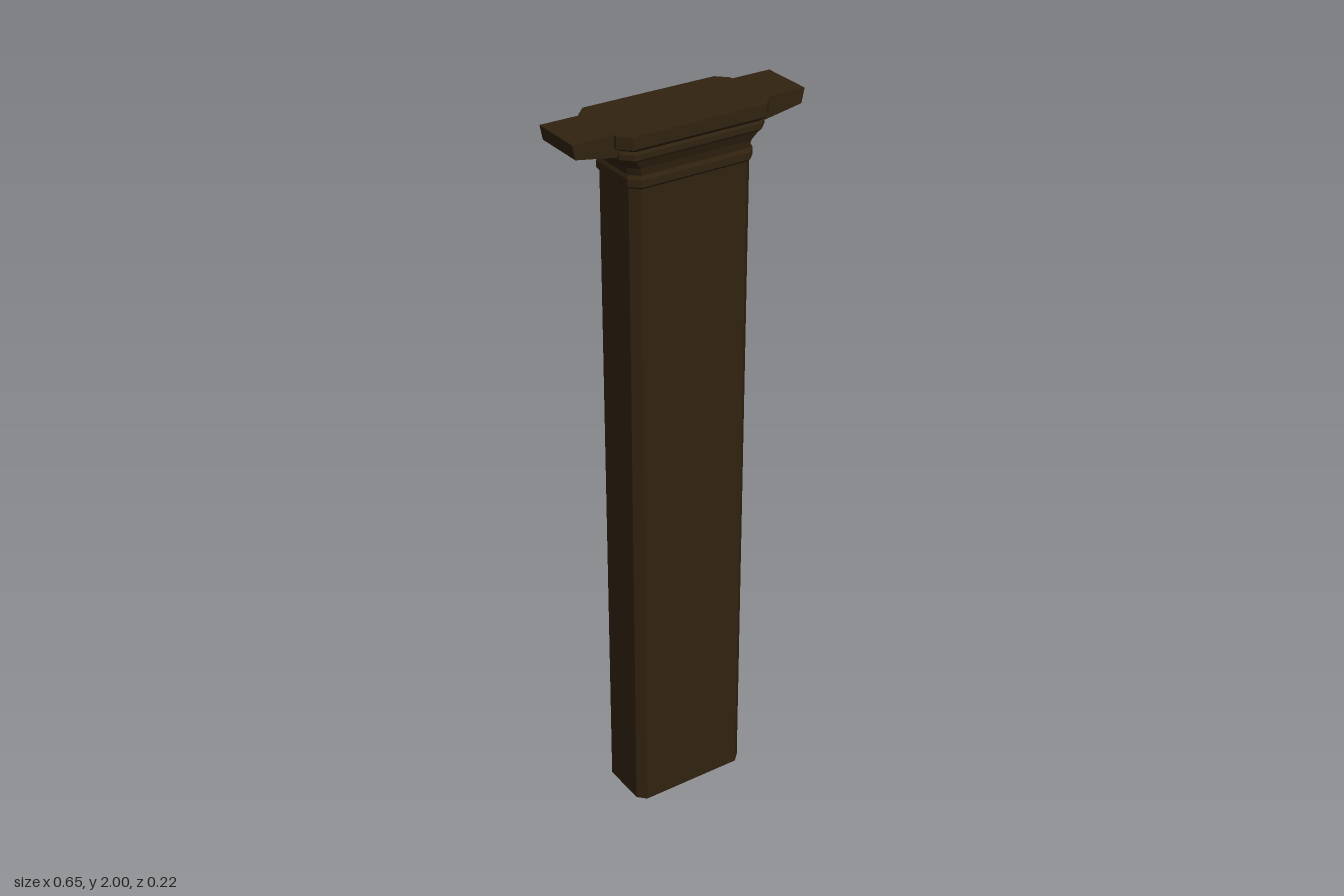
import * as THREE from 'three';

// Stack of chamfered rectangles [y, halfX, halfZ, chamfer], closed at both ends
function loft(sections) {
  const pos = [], index = [], n = 8;
  for (const [y, x, z, c] of sections) {
    const ring = [[c - x, z], [x - c, z], [x, z - c], [x, c - z],
      [x - c, -z], [c - x, -z], [-x, c - z], [-x, z - c]];
    for (const [px, pz] of ring) pos.push(px, y, pz);
  }
  for (let s = 0; s < sections.length - 1; s++) {
    for (let i = 0; i < n; i++) {
      const a = s * n + i, b = s * n + (i + 1) % n;
      index.push(a, b, b + n, a, b + n, a + n);
    }
  }
  const top = (sections.length - 1) * n;
  for (let i = 1; i < n - 1; i++) {
    index.push(0, i + 1, i, top, top + i, top + i + 1);
  }
  const geo = new THREE.BufferGeometry();
  geo.setAttribute('position', new THREE.Float32BufferAttribute(pos, 3));
  geo.setIndex(index);
  const flat = geo.toNonIndexed();
  flat.computeVertexNormals();
  return flat;
}

export function createModel() {
  const group = new THREE.Group();
  const wood = new THREE.MeshStandardMaterial({ color: 0x30220f, flatShading: true });
  wood.name = 'dark wood';

  const add = (name, geo) => {
    const mesh = new THREE.Mesh(geo, wood);
    mesh.name = name;
    group.add(mesh);
    return mesh;
  };

  // Tall chamfered post
  add('shaft', loft([[0, 0.172, 0.087, 0.022], [1.86, 0.172, 0.087, 0.022]]));

  // Moulded capital: collar, flare, groove and top slab
  add('capital', loft([
    [1.855, 0.172, 0.087, 0.022],
    [1.862, 0.178, 0.094, 0.024],
    [1.88, 0.178, 0.094, 0.024],
    [1.89, 0.174, 0.089, 0.023],
    [1.91, 0.181, 0.092, 0.024],
    [1.932, 0.197, 0.101, 0.026],
    [1.938, 0.205, 0.105, 0.027],
    [1.952, 0.205, 0.105, 0.027],
    [1.958, 0.2, 0.1, 0.026],
    [1.968, 0.215, 0.11, 0.028],
    [2, 0.215, 0.11, 0.028],
  ]));

  // Tapered arms carrying the beam on each side
  const arm = new THREE.Shape([[0.19, 1.94], [0.318, 1.962], [0.326, 2], [0.19, 2]]
    .map(([x, y]) => new THREE.Vector2(x, y)));
  const armGeo = new THREE.ExtrudeGeometry(arm, { depth: 0.146, bevelEnabled: false });
  armGeo.translate(0, 0, -0.073);
  add('leftArm', armGeo);
  add('rightArm', armGeo).rotation.y = Math.PI;

  return group;
}
